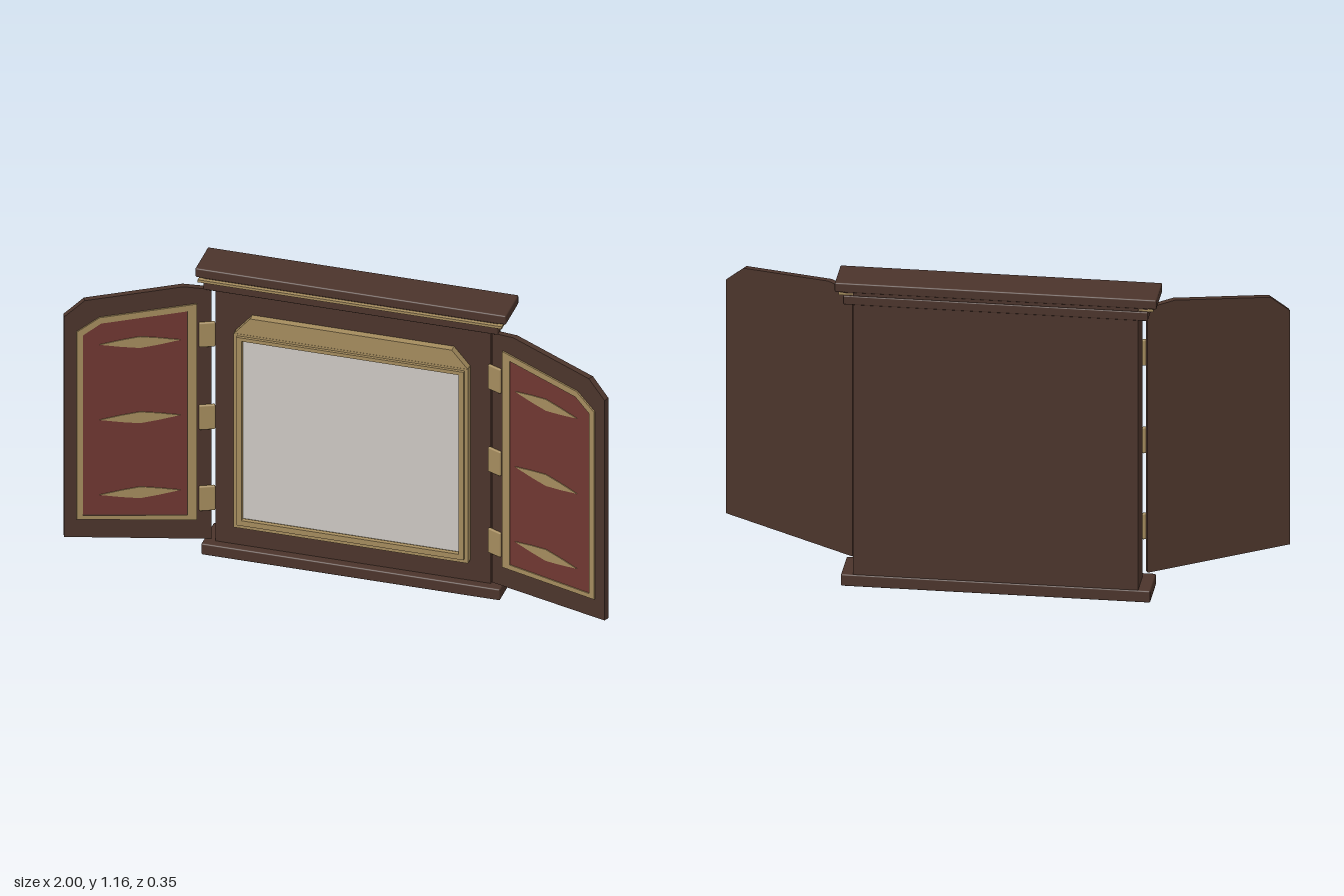
import * as THREE from 'three';
import { RoundedBoxGeometry } from 'three/addons/geometries/RoundedBoxGeometry.js';

const flat = (name, color) => {
  const m = new THREE.MeshStandardMaterial({ color });
  m.name = name;
  return m;
};

export function createModel() {
  const wood = flat('dark wood', 0x4b342b);
  const gold = flat('antique gold', 0xa48b5d);
  const red = flat('red lining', 0x6f3731);
  const glass = flat('mirror glass', 0xcbc7c2);

  const model = new THREE.Group();
  model.name = 'wallMirrorCabinet';

  const add = (parent, name, geometry, material) => {
    const mesh = new THREE.Mesh(geometry, material);
    mesh.name = name;
    parent.add(mesh);
    return mesh;
  };

  // Box given by its limits; a radius softens the edges
  const block = (parent, name, material, [x0, x1], [y0, y1], [z0, z1], radius = 0) => {
    const size = [x1 - x0, y1 - y0, z1 - z0];
    const geometry = radius
      ? new RoundedBoxGeometry(...size, 2, radius)
      : new THREE.BoxGeometry(...size);
    geometry.translate((x0 + x1) / 2, (y0 + y1) / 2, (z0 + z1) / 2);
    return add(parent, name, geometry, material);
  };

  // Flat plate cut from an outline, optionally with a hole
  const plate = (parent, name, material, outline, z0, z1, hole) => {
    const toPoints = (list) => list.map(([x, y]) => new THREE.Vector2(x, y));
    const shape = new THREE.Shape(toPoints(outline));
    if (hole) shape.holes.push(new THREE.Path(toPoints(hole)));
    const geometry = new THREE.ExtrudeGeometry(shape, { depth: z1 - z0, bevelEnabled: false });
    geometry.translate(0, 0, z0);
    return add(parent, name, geometry, material);
  };
  const rect = (x, y0, y1) => [[-x, y0], [x, y0], [x, y1], [-x, y1]];

  // Carcass, plinth and cornice
  block(model, 'body', wood, [-0.505, 0.505], [0.03, 1.135], [-0.171, -0.053]);
  block(model, 'plinth', wood, [-0.548, 0.548], [0, 0.045], [-0.175, -0.02], 0.005);
  block(model, 'lowerCornice', wood, [-0.54, 0.54], [1.083, 1.117], [-0.175, -0.02], 0.004);
  block(model, 'corniceGoldStrip', gold, [-0.558, 0.558], [1.116, 1.126], [-0.166, -0.01]);
  block(model, 'corniceFiller', wood, [-0.54, 0.54], [1.125, 1.135], [-0.17, -0.025]);
  block(model, 'upperCornice', wood, [-0.57, 0.57], [1.129, 1.165], [-0.175, -0.02], 0.005);

  // Mirror with a stepped frame and a crest above it
  block(model, 'mirrorGlass', glass, [-0.405, 0.405], [0.16, 0.91], [-0.055, -0.036]);
  plate(model, 'outerFrame', gold, rect(0.43, 0.13, 0.922), -0.055, -0.024, rect(0.4, 0.165, 0.9));
  plate(model, 'innerFrame', gold, rect(0.417, 0.147, 0.914), -0.03, -0.013, rect(0.398, 0.168, 0.9));
  plate(model, 'frameCrest', gold,
    [[-0.43, 0.92], [0.43, 0.92], [0.37, 0.99], [-0.37, 0.99]], -0.055, -0.025);

  // Open doors, mirrored left and right
  const angle = 0.415;
  const thick = 0.022;
  const doorOutline = [[0.514, 0.062], [0.991, 0.107], [0.991, 1.005], [0.925, 1.066], [0.605, 1.098], [0.514, 1.08]];
  const borderOuter = [[0.562, 0.146], [0.951, 0.178], [0.951, 0.943], [0.877, 0.996], [0.562, 1.027]];
  const borderInner = [[0.593, 0.168], [0.931, 0.194], [0.931, 0.928], [0.872, 0.972], [0.593, 1.0]];
  const halfDiamond = [[-0.131, 0], [-0.06, -0.014], [0, -0.023], [0.06, -0.014]];
  const diamond = [...halfDiamond, ...halfDiamond.map(([x, y]) => [-x, -y])];

  for (const side of [1, -1]) {
    const door = new THREE.Group();
    door.name = side > 0 ? 'leftDoor' : 'rightDoor';
    door.position.set(side * 0.523, 0, -0.055);
    door.rotation.y = -side * angle;
    model.add(door);

    // Turns a width seen from the front into a width along the door
    const along = (list) => list.map(([x, y]) => [(side * (x - 0.514)) / Math.cos(angle), y]);

    plate(door, 'doorPanel', wood, along(doorOutline), 0, thick);
    plate(door, 'doorBorder', gold, along(borderOuter), thick, thick + 0.006, along(borderInner));
    plate(door, 'doorLining', red, along(borderInner), thick, thick + 0.002);

    for (const y of [0.885, 0.578, 0.272]) {
      plate(door, 'lozenge', gold, along(diamond.map(([px, py]) => [0.746 + px, y + py])), thick + 0.001, thick + 0.005);
    }

    // Hinge plates overlapping the gap to the body
    for (const y of [0.9, 0.563, 0.232]) {
      const u = [-0.013, 0.045].map((v) => v * side).sort((a, b) => a - b);
      block(door, 'hinge', gold, u, [y - 0.05, y + 0.05], [thick - 0.004, thick + 0.009], 0.005);
    }
  }
  return model;
}
